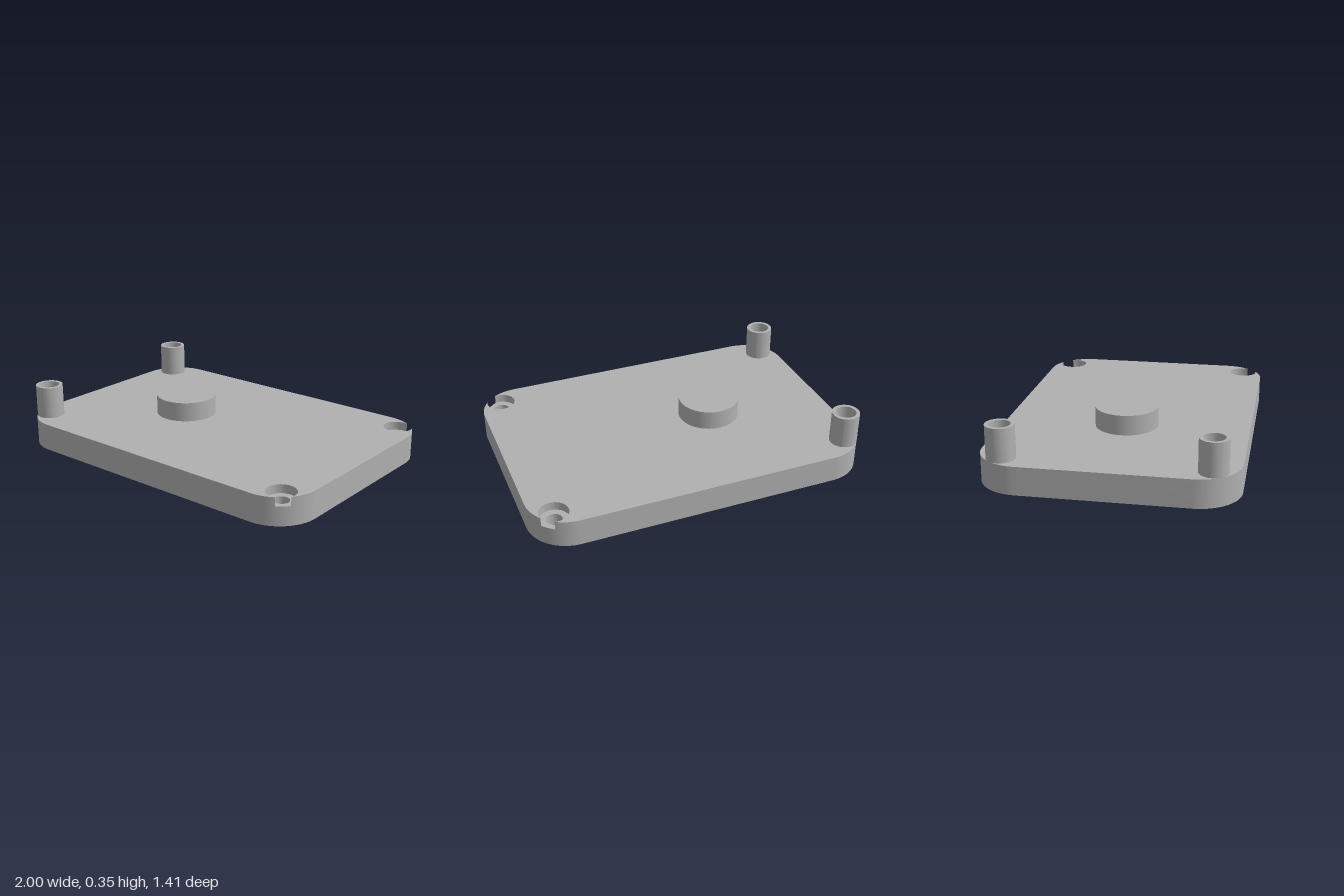
import * as THREE from 'three';
import { toCreasedNormals } from 'three/addons/utils/BufferGeometryUtils.js';

const W = 1, D = 0.705, R = 0.24;             // plate half sizes and corner radius
const TOP = 0.16, FLOOR = 0.11;               // plate top and counterbore floor
const BOSS = { x: -0.89, z: 0.56, outer: 0.08, inner: 0.059 };
const BORE = { x: 0.871, z: 0.586, outer: 0.083, inner: 0.045 };

const gray = new THREE.MeshStandardMaterial({ color: 0xb0b0b0 });
gray.name = 'gray';

// Extrude a plan shape upwards between two heights, rounded sides smooth
function slab(name, shape, y0, y1) {
  const flat = new THREE.ExtrudeGeometry(shape, { depth: y1 - y0, bevelEnabled: false, curveSegments: 32 });
  flat.rotateX(-Math.PI / 2).translate(0, y0, 0);
  const mesh = new THREE.Mesh(toCreasedNormals(flat, 0.5), gray);
  mesh.name = name;
  return mesh;
}

function circle(x, z, r) {
  const p = new THREE.Path();
  p.absarc(x, z, r, 0, Math.PI * 2, false);
  return p;
}

// Rounded rectangle; optionally the right corners are cut by the counterbores
function plateShape(notched) {
  const s = new THREE.Shape();
  const cx = W - R, cz = D - R;
  const corner = (sx, sz, start) => {
    const end = start + Math.PI / 2;
    if (!notched || sx < 0) {
      s.absarc(sx * cx, sz * cz, R, start, end, false);
      return;
    }
    // where the counterbore circle crosses the corner arc
    const dx = BORE.x - cx, dz = sz * (BORE.z - cz), d = Math.hypot(dx, dz);
    const a = (R * R - BORE.outer ** 2 + d * d) / (2 * d);
    const h = Math.sqrt(R * R - a * a);
    const mid = Math.atan2(dz, dx), wide = Math.atan2(h, a), open = Math.atan2(h, a - d);
    s.absarc(cx, sz * cz, R, start, mid - wide, false);
    s.absarc(BORE.x, sz * BORE.z, BORE.outer, mid - open, mid + open, true);
    s.absarc(cx, sz * cz, R, mid + wide, end, false);
  };
  corner(1, -1, -Math.PI / 2);
  corner(1, 1, 0);
  corner(-1, 1, Math.PI / 2);
  corner(-1, -1, Math.PI);
  s.closePath();
  return s;
}

export function createModel() {
  const group = new THREE.Group();
  group.name = 'coverPlate';

  // Plate in two layers: through holes below, open counterbores above
  const lower = plateShape(false), upper = plateShape(true);
  for (const s of [-1, 1]) {
    lower.holes.push(circle(BOSS.x, s * BOSS.z, BOSS.inner), circle(BORE.x, s * BORE.z, BORE.inner));
    upper.holes.push(circle(BOSS.x, s * BOSS.z, BOSS.inner));
  }
  group.add(slab('lowerPlate', lower, 0, FLOOR), slab('upperPlate', upper, FLOOR, TOP));

  // Hollow standoffs on the right-hand corners
  for (const s of [-1, 1]) {
    const ring = new THREE.Shape();
    ring.absarc(BOSS.x, s * BOSS.z, BOSS.outer, 0, Math.PI * 2, false);
    ring.holes.push(circle(BOSS.x, s * BOSS.z, BOSS.inner));
    group.add(slab(s > 0 ? 'backStandoff' : 'frontStandoff', ring, TOP, 0.35));
  }

  // Solid round pad
  const pad = new THREE.Mesh(new THREE.CylinderGeometry(0.18, 0.18, 0.115, 64), gray);
  pad.name = 'roundPad';
  pad.position.set(-0.275, TOP + 0.115 / 2, 0);
  group.add(pad);

  return group;
}
